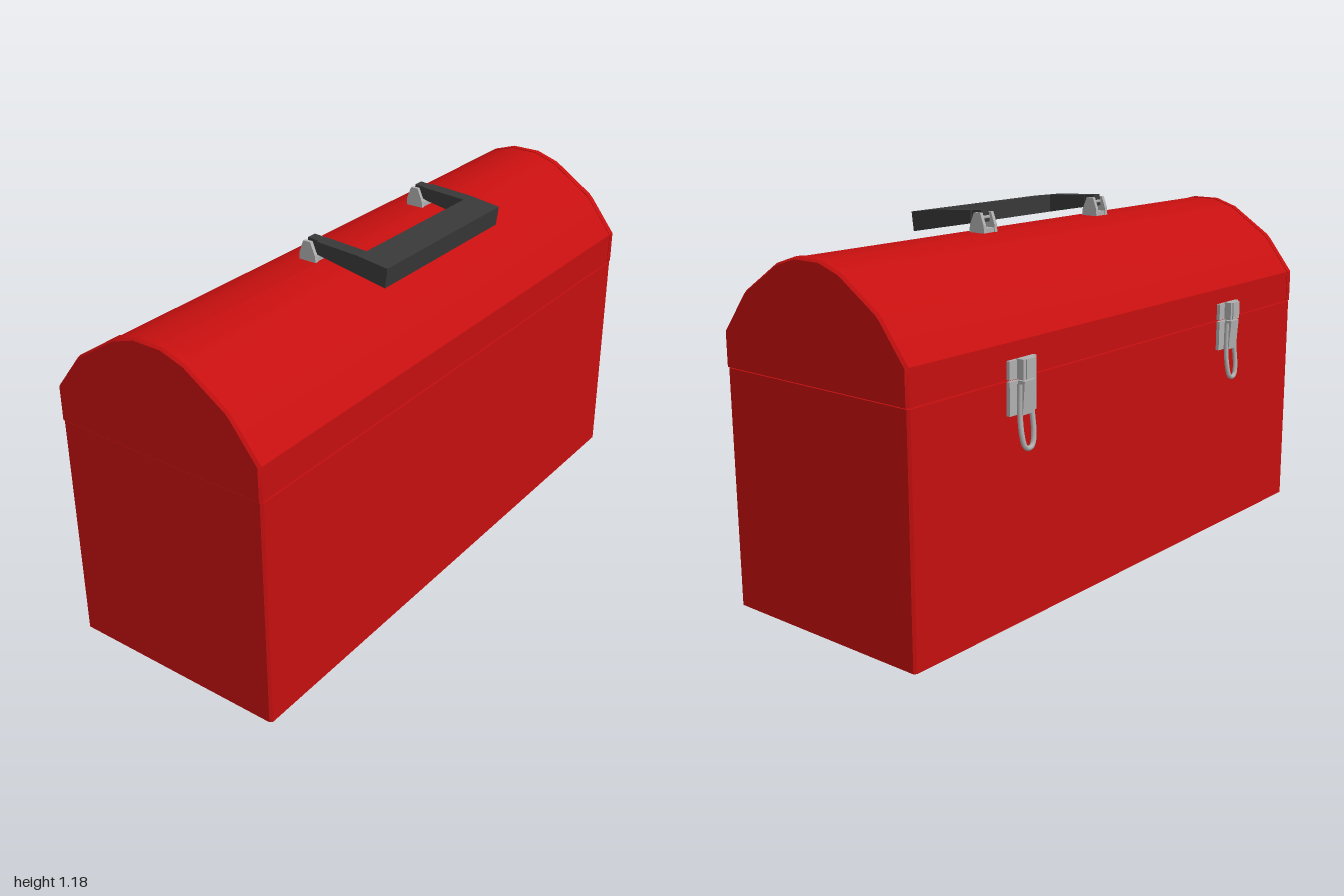
import * as THREE from 'three';
import { toCreasedNormals } from 'three/addons/utils/BufferGeometryUtils.js';

const mat = (name, color) => {
  const m = new THREE.MeshStandardMaterial({ color });
  m.name = name;
  return m;
};

const MID_Z = 0.02; // centre line of the box
const SEAM_Y = 0.75;

// Joins copies of a convex [z, y] profile along x; each ring is [x, zScale, yScale].
function loft(profile, rings) {
  const n = profile.length;
  const pos = [];
  const idx = [];
  for (const [x, sz, sy] of rings) {
    for (const [z, y] of profile) pos.push(x, SEAM_Y + (y - SEAM_Y) * sy, MID_Z + z * sz);
  }
  for (let i = 0; i < rings.length - 1; i++) {
    for (let j = 0; j < n; j++) {
      const k = (j + 1) % n;
      const a = i * n + j, b = a + n, c = (i + 1) * n + k, d = i * n + k;
      idx.push(a, b, c, a, c, d);
    }
  }
  const last = (rings.length - 1) * n;
  for (let j = 1; j < n - 1; j++) {
    idx.push(0, j, j + 1);
    idx.push(last, last + j + 1, last + j);
  }
  const g = new THREE.BufferGeometry();
  g.setAttribute('position', new THREE.Float32BufferAttribute(pos, 3));
  g.setIndex(idx);
  return toCreasedNormals(g, 0.5);
}

// Extrudes a [z, y] outline across x from x0 to x1.
function extrudeX(points, x0, x1) {
  const shape = new THREE.Shape(points.map(([z, y]) => new THREE.Vector2(-z, y)));
  const g = new THREE.ExtrudeGeometry(shape, { depth: x1 - x0, bevelEnabled: false });
  return g.rotateY(Math.PI / 2).translate(x0, 0, 0);
}

export function createModel() {
  const red = mat('red paint', 0xc60f0f);
  const steel = mat('steel', 0xb0b0b0);
  const black = mat('black plastic', 0x383838);

  const model = new THREE.Group();
  model.name = 'toolbox';
  const add = (parent, name, geometry, material) => {
    const m = new THREE.Mesh(geometry, material);
    m.name = name;
    parent.add(m);
    return m;
  };
  const box = (parent, name, material, w, h, d, x, y, z) =>
    add(parent, name, new THREE.BoxGeometry(w, h, d).translate(x, y, z), material);

  // Body with narrow chamfers on its upright corners
  add(model, 'body', loft(
    [[0.374, 0], [0.374, 0.748], [-0.374, 0.748], [-0.374, 0]],
    [[-0.996, 0.98, 1], [-0.988, 1, 1], [0.988, 1, 1], [0.996, 0.98, 1]],
  ), red);

  // Domed lid with a slightly raised rim at each end
  const half = [[0.375, 0.752], [0.375, 0.86], [0.285, 0.975], [0.27, 0.99], [0.13, 1.082], [0.05, 1.108]];
  const dome = [...half, ...half.map(([z, y]) => [-z, y]).reverse()];
  add(model, 'lid', loft(dome, [
    [-1, 0.98, 0.98], [-0.992, 1, 1], [-0.97, 1, 1], [-0.97, 0.996, 0.994],
    [0.97, 0.996, 0.994], [0.97, 1, 1], [0.992, 1, 1], [1, 0.98, 0.98],
  ]), red);

  // Handle, folded down toward the front
  const handle = new THREE.Group();
  handle.name = 'handle';
  model.add(handle);
  add(handle, 'grip', extrudeX(
    [[0.2, 1.105], [0.298, 1.087], [0.306, 1.15], [0.2, 1.164]], -0.31, 0.31), black);
  const arm = [[0.05, 1.132], [0.2, 1.105], [0.2, 1.164], [0.05, 1.173]];
  const neck = [[0.008, 1.138], [0.05, 1.132], [0.05, 1.173], [0.012, 1.176]];
  const cheek = [[-0.012, 1.1], [0.05, 1.1], [0.047, 1.128], [0.03, 1.168], [0.004, 1.168], [-0.01, 1.13]];

  for (const s of [-1, 1]) {
    const side = s > 0 ? 'left' : 'right';
    const span = (a, b) => (s > 0 ? [a, b] : [-b, -a]);
    add(handle, side + 'Arm', extrudeX(arm, ...span(0.265, 0.31)), black);
    add(handle, side + 'Neck', extrudeX(neck, ...span(0.268, 0.302)), black);

    // Bracket: two cheeks, a foot and a cross pin
    const bracket = new THREE.Group();
    bracket.name = side + 'Bracket';
    model.add(bracket);
    add(bracket, 'innerCheek', extrudeX(cheek, ...span(0.254, 0.266)), steel);
    add(bracket, 'outerCheek', extrudeX(cheek, ...span(0.304, 0.316)), steel);
    box(bracket, 'foot', steel, 0.05, 0.016, 0.056, s * 0.285, 1.112, 0.019);
    add(bracket, 'pin', new THREE.CylinderGeometry(0.009, 0.009, 0.06, 10)
      .rotateZ(Math.PI / 2).translate(s * 0.285, 1.152, 0.017), steel);

    // Latch on the back, straddling the lid seam
    const latch = new THREE.Group();
    latch.name = side + 'Latch';
    latch.position.x = s * 0.55;
    model.add(latch);
    box(latch, 'upperPlate', steel, 0.118, 0.055, 0.012, 0, 0.781, -0.36);
    box(latch, 'lowerPlate', steel, 0.118, 0.1, 0.012, 0, 0.698, -0.36);
    box(latch, 'hook', steel, 0.056, 0.06, 0.026, 0, 0.782, -0.378);
    box(latch, 'hookLip', steel, 0.036, 0.058, 0.008, 0, 0.783, -0.391);
    add(latch, 'lever', extrudeX(
      [[-0.364, 0.648], [-0.364, 0.748], [-0.392, 0.748], [-0.384, 0.648]], -0.024, 0.024), steel);

    // Wire pull loop hanging below the lever
    const wire = new THREE.CatmullRomCurve3([
      [-0.026, 0.74, -0.376], [-0.027, 0.65, -0.376], [-0.026, 0.585, -0.383], [-0.016, 0.553, -0.386],
      [0, 0.546, -0.387], [0.016, 0.553, -0.386], [0.026, 0.585, -0.383], [0.027, 0.65, -0.376], [0.026, 0.74, -0.376],
    ].map((p) => new THREE.Vector3(...p)));
    add(latch, 'pullLoop', new THREE.TubeGeometry(wire, 32, 0.008, 8), steel);
  }
  return model;
}
